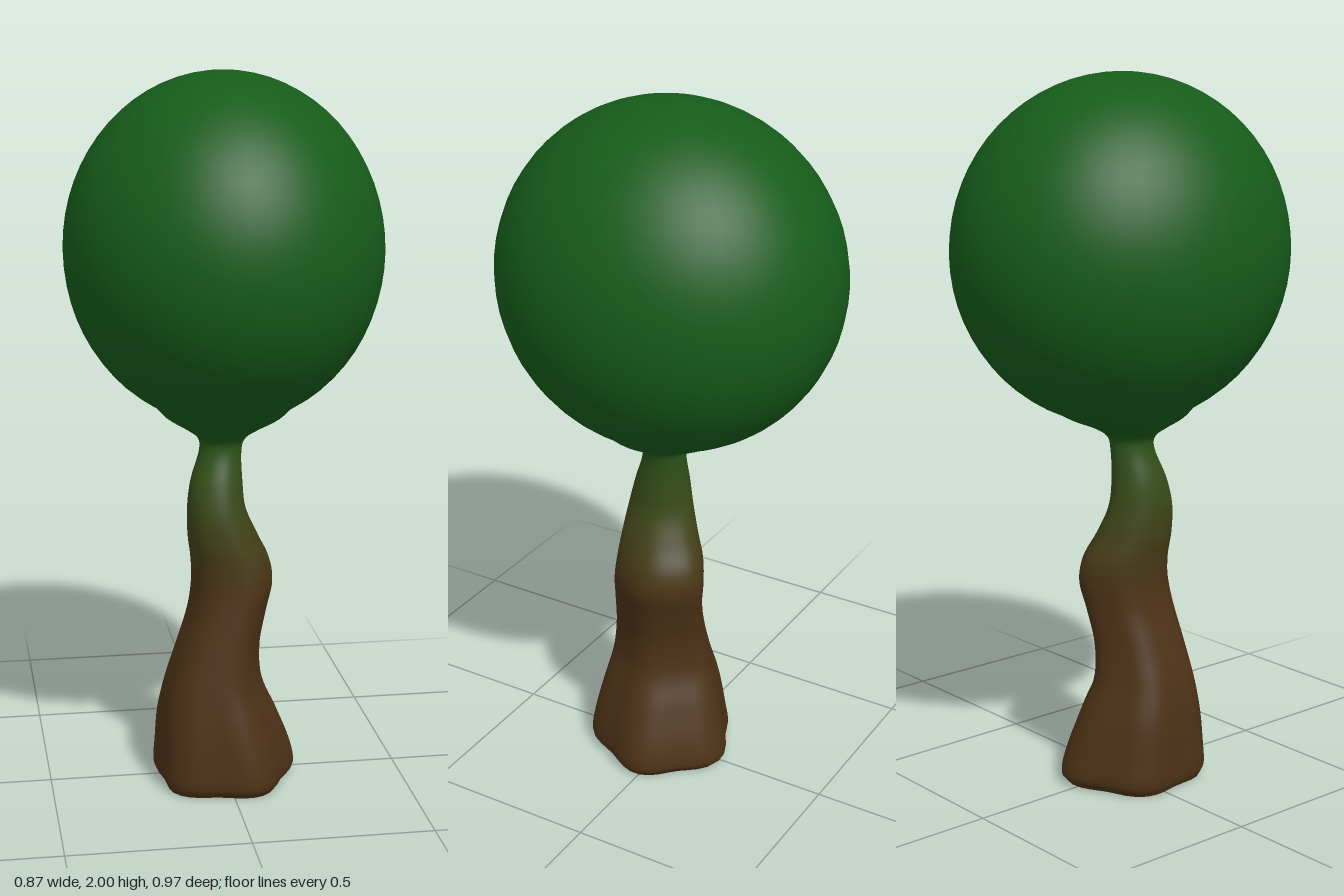
import * as THREE from 'three';

const SIDES = 40, RINGS = 96;
const BROWN = new THREE.Color(0x4d3216), GREEN = new THREE.Color(0x165c1a);

// Trunk outline: height, x from/to, z from/to
const SECTIONS = [
  [0.0, -0.19, 0.185, -0.165, 0.215],
  [0.03, -0.2, 0.2, -0.185, 0.232],
  [0.1, -0.197, 0.185, -0.17, 0.226],
  [0.2, -0.19, 0.145, -0.14, 0.21],
  [0.3, -0.17, 0.102, -0.103, 0.19],
  [0.4, -0.138, 0.097, -0.092, 0.175],
  [0.5, -0.105, 0.117, -0.1, 0.163],
  [0.58, -0.092, 0.136, -0.112, 0.155],
  [0.65, -0.095, 0.124, -0.105, 0.15],
  [0.72, -0.105, 0.09, -0.075, 0.148],
  [0.8, -0.108, 0.055, -0.05, 0.14],
  [0.88, -0.098, 0.046, -0.039, 0.12],
  [0.96, -0.073, 0.045, -0.035, 0.092],
  [1.0, -0.077, 0.058, -0.042, 0.098],
  [1.03, -0.115, 0.1, -0.085, 0.14],
  [1.06, -0.165, 0.16, -0.155, 0.185],
  [1.1, -0.203, 0.203, -0.225, 0.225],
];

// Unit ring with five soft ridges, stretched to fill -1..1 on both axes
function ridgedRing(depth) {
  const pts = [];
  for (let j = 0; j < SIDES; j++) {
    const a = (j / SIDES) * Math.PI * 2;
    const r = 1 + depth * Math.cos(5 * (a - 1.13));
    pts.push(new THREE.Vector2(r * Math.cos(a), r * Math.sin(a)));
  }
  const box = new THREE.Box2().setFromPoints(pts);
  const mid = box.getCenter(new THREE.Vector2()), half = box.getSize(new THREE.Vector2()).multiplyScalar(0.5);
  return pts.map((p) => p.sub(mid).divide(half));
}

// Smooth loft through the sections
function trunkSurface() {
  const curve = (ix, iz) => new THREE.CatmullRomCurve3(
    SECTIONS.map((s) => new THREE.Vector3(s[ix], s[0], s[iz])), false, 'catmullrom', 0.5);
  const low = curve(1, 3), high = curve(2, 4);
  const positions = [], index = [];
  for (let i = 0; i <= RINGS; i++) {
    const lo = low.getPoint(i / RINGS), hi = high.getPoint(i / RINGS);
    const ring = ridgedRing(0.07 * Math.max(0, 1 - lo.y));
    for (const p of ring) {
      positions.push(
        (lo.x + hi.x) / 2 + p.x * (hi.x - lo.x) / 2,
        lo.y,
        (lo.z + hi.z) / 2 + p.y * (hi.z - lo.z) / 2);
    }
  }
  for (let i = 0; i < RINGS; i++) {
    for (let j = 0; j < SIDES; j++) {
      const k = (j + 1) % SIDES;
      const a = i * SIDES + j, b = i * SIDES + k;
      index.push(a, a + SIDES, b, b, a + SIDES, b + SIDES);
    }
  }
  const geo = new THREE.BufferGeometry();
  geo.setAttribute('position', new THREE.Float32BufferAttribute(positions, 3));
  geo.setIndex(index);
  geo.computeVertexNormals();
  return geo;
}

export function createModel() {
  const model = new THREE.Group();
  model.name = 'tree';
  const add = (parent, name, geometry, color) => {
    const mesh = new THREE.Mesh(geometry, new THREE.MeshStandardMaterial({ color }));
    mesh.name = name;
    parent.add(mesh);
    return mesh;
  };

  // Crown
  const crown = add(model, 'crown', new THREE.SphereGeometry(1, 48, 32), GREEN);
  crown.scale.set(0.437, 0.48, 0.485);
  crown.position.y = 1.52;

  // Trunk, cut into bands that fade from bark to leaf colour
  const trunk = new THREE.Group();
  trunk.name = 'trunk';
  model.add(trunk);
  const surface = trunkSurface();
  const all = Array.from(surface.index.array), perRing = SIDES * 6;
  const band = (name, from, to, color) => {
    const geo = new THREE.BufferGeometry();
    geo.setAttribute('position', surface.attributes.position);
    geo.setAttribute('normal', surface.attributes.normal);
    geo.setIndex(all.slice(from * perRing, to * perRing));
    add(trunk, name, geo, color);
  };
  const fadeStart = 42, fadeEnd = 84, step = 3;
  band('bark', 0, fadeStart, BROWN);
  for (let i = fadeStart; i < fadeEnd; i += step) {
    const t = (i + step / 2 - fadeStart) / (fadeEnd - fadeStart);
    band('barkFade', i, i + step, BROWN.clone().lerp(GREEN, t));
  }
  band('crownCollar', fadeEnd, RINGS, GREEN);

  // Underside of the trunk
  const pos = surface.attributes.position, cap = [];
  for (let j = 0; j < SIDES; j++) {
    const k = (j + 1) % SIDES;
    cap.push(0, 0, 0.025, pos.getX(j), 0, pos.getZ(j), pos.getX(k), 0, pos.getZ(k));
  }
  const capGeo = new THREE.BufferGeometry();
  capGeo.setAttribute('position', new THREE.Float32BufferAttribute(cap, 3));
  capGeo.computeVertexNormals();
  add(trunk, 'trunkBase', capGeo, BROWN);

  return model;
}
